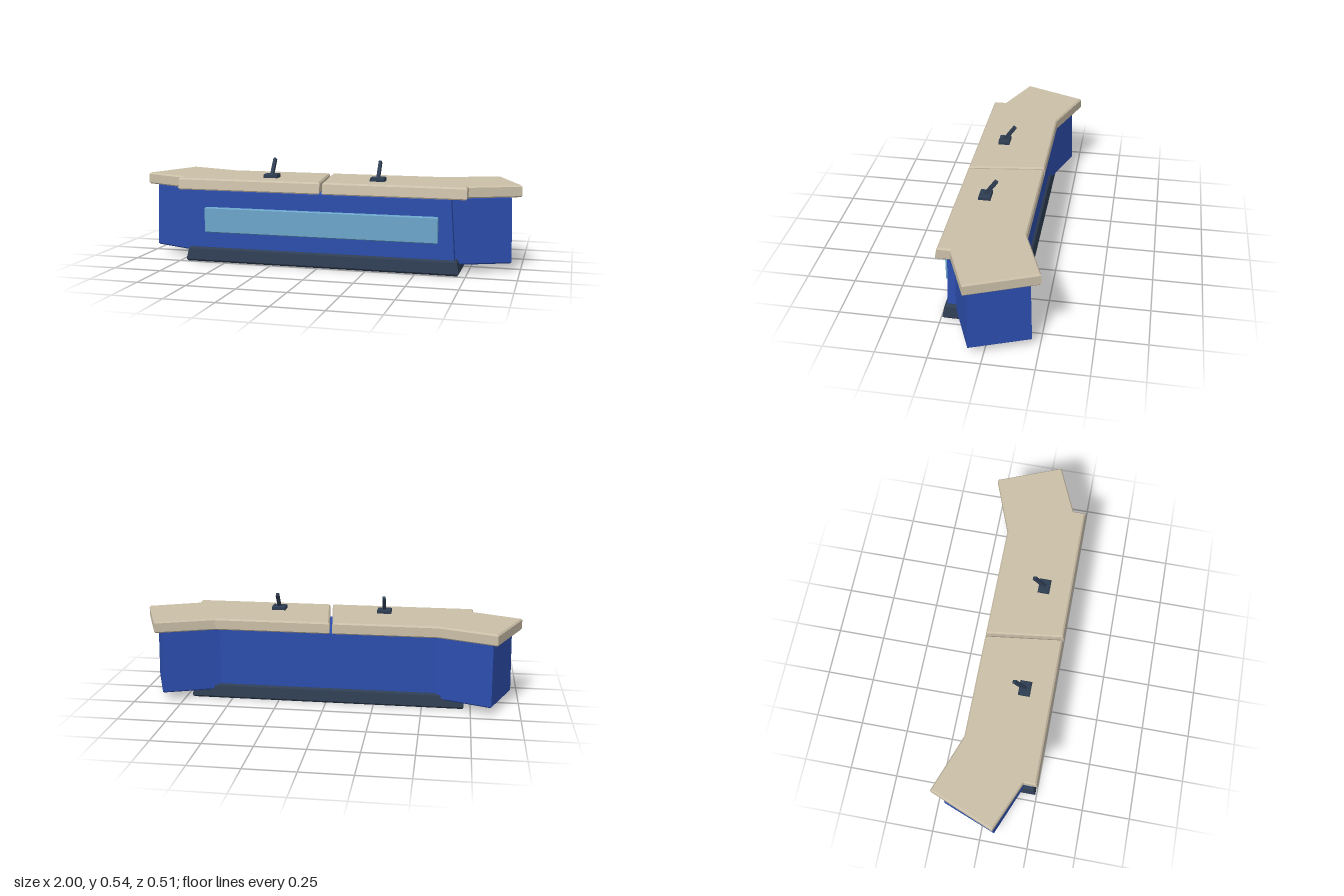
import * as THREE from 'three';

const mat = (name, color, side = THREE.FrontSide) => {
  const m = new THREE.MeshStandardMaterial({ color, side });
  m.name = name;
  return m;
};

// Moves a counter-clockwise (x, z) outline inwards by d, with mitred corners
function inset(points, d) {
  const n = points.length;
  return points.map((p, i) => {
    const e1 = p.clone().sub(points[(i + n - 1) % n]).normalize();
    const e2 = points[(i + 1) % n].clone().sub(p).normalize();
    const n1 = new THREE.Vector2(-e1.y, e1.x);
    const n2 = new THREE.Vector2(-e2.y, e2.x);
    const k = d / (1 + n1.dot(n2));
    return p.clone().add(n1.add(n2).multiplyScalar(k));
  });
}

// Stacks inset copies of an outline; levels are [y, inset] from bottom to top
function slab(outline, levels) {
  const pts = outline.map(([x, z]) => new THREE.Vector2(x, z));
  if (THREE.ShapeUtils.area(pts) < 0) pts.reverse();
  const rings = levels.map(([y, d]) => inset(pts, d).map(p => [p.x, y, p.y]));
  const pos = [];
  const tri = (a, b, c) => pos.push(...a, ...b, ...c);
  for (let k = 0; k < rings.length - 1; k++) {
    const lo = rings[k], up = rings[k + 1];
    for (let i = 0; i < pts.length; i++) {
      const j = (i + 1) % pts.length;
      tri(lo[i], up[i], up[j]);
      tri(lo[i], up[j], lo[j]);
    }
  }
  const bottom = rings[0], top = rings[rings.length - 1];
  for (const [a, b, c] of THREE.ShapeUtils.triangulateShape(pts, [])) {
    tri(bottom[a], bottom[b], bottom[c]);
    tri(top[a], top[c], top[b]);
  }
  const geo = new THREE.BufferGeometry();
  geo.setAttribute('position', new THREE.Float32BufferAttribute(pos, 3));
  geo.computeVertexNormals();
  return geo;
}

const rect = (x0, x1, z0, z1) => [[x0, z0], [x1, z0], [x1, z1], [x0, z1]];

export function createModel() {
  const group = new THREE.Group();
  group.name = 'controlDesk';
  const blue = mat('deskBlue', 0x2c4dac);
  const beige = mat('counterBeige', 0xcbbfa8);
  const navy = mat('darkNavy', 0x2e3d52);
  const sky = mat('panelLightBlue', 0x6ca6cb);

  const add = (name, geo, material, parent = group) => {
    const mesh = new THREE.Mesh(geo, material);
    mesh.name = name;
    parent.add(mesh);
    return mesh;
  };

  // Plinth
  add('plinth', slab(rect(-0.717, 0.717, -0.13, 0.243),
    [[0, 0.008], [0.01, 0], [0.066, 0.01], [0.075, 0.02]]), navy);

  // Central cabinet, narrowing upwards
  const cabinet = slab(rect(-0.693, 0.693, -0.108, 0.221),
    [[0.045, 0.004], [0.052, 0], [0.372, 0.006], [0.38, 0.012]]);
  const cp = cabinet.attributes.position;
  for (let i = 0; i < cp.count; i++) {
    cp.setX(i, cp.getX(i) * (1 - 0.025 * (cp.getY(i) - 0.045) / 0.335));
  }
  cabinet.computeVertexNormals();
  add('cabinet', cabinet, blue);

  // Light front panel
  add('frontPanel', slab(rect(-0.61, 0.61, 0.2, 0.242),
    [[0.157, 0.004], [0.161, 0], [0.284, 0], [0.288, 0.004]]), sky);

  for (const s of [1, -1]) {
    const side = s > 0 ? 'left' : 'right';

    // Angled wing cabinet
    const wing = [[0.6, 0.217], [0.959, 0.069], [0.852, -0.214], [0.555, -0.106]];
    add(side + 'Wing', slab(wing.map(([x, z]) => [x * s, z]),
      [[0.043, 0.007], [0.05, 0], [0.372, 0.007], [0.38, 0.012]]), blue);

    // Countertop half; the seam between the halves runs diagonally
    const rim = [[0.75, 0.25], [0.75, 0.182], [1, 0.075], [0.867, -0.255], [0.575, -0.146]];
    const top = slab(
      [...rim.map(([x, z]) => [x * s, z]), [-0.03 + s * 0.007, -0.146], [0.02 + s * 0.007, 0.25]],
      [[0.38, 0.005], [0.386, 0], [0.432, 0], [0.44, 0.007]]);
    const tp = top.attributes.position;
    for (let i = 0; i < tp.count; i++) {
      // Front edge leans back
      if (tp.getZ(i) > 0.22) tp.setZ(i, tp.getZ(i) + 0.005 - (tp.getY(i) - 0.38) * 0.17);
    }
    top.computeVertexNormals();
    add(side + 'Countertop', top, beige);

    // Lever on its foot
    const lever = new THREE.Group();
    lever.name = side + 'Lever';
    lever.position.set(0.283 * s, 0.44, 0.105);
    group.add(lever);
    add('leverFoot', slab(rect(-0.037, 0.037, -0.03, 0.03),
      [[-0.004, 0], [0.016, 0], [0.02, 0.004]]), navy, lever);
    const stick = add('leverStick', slab(rect(-0.008, 0.008, -0.01, 0.01),
      [[0, 0], [0.105, 0], [0.109, 0.003]]), navy, lever);
    stick.position.set(0, 0.006, 0.006);
    stick.rotation.x = -0.62;
  }
  return group;
}
